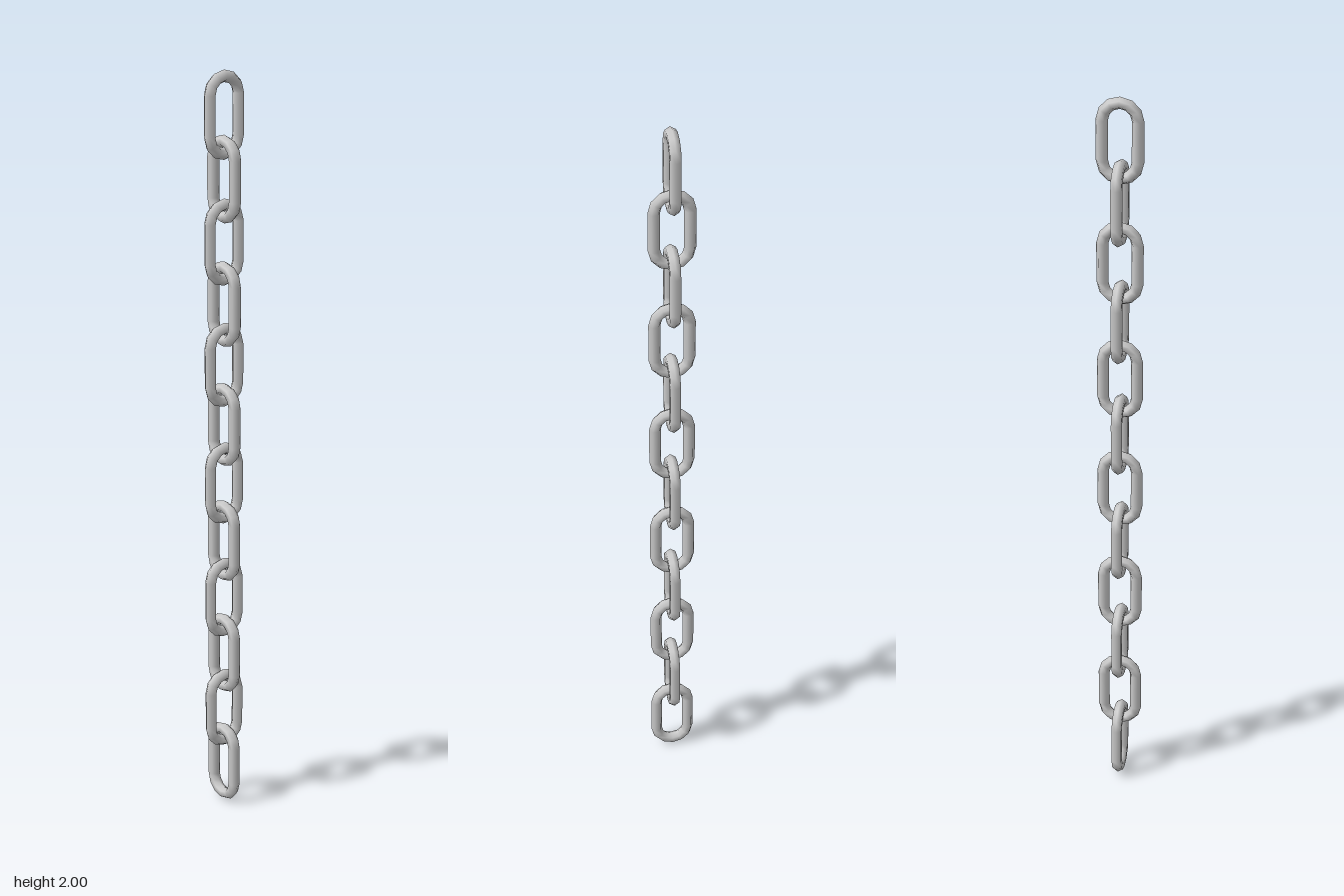
import * as THREE from 'three';

const LINKS = 12;
const LENGTH = 0.225;      // outer length of one link
const HALF_WIDTH = 0.06;   // outer half width of one link
const WIRE = 0.0155;       // wire radius
const ARC_STEPS = 6;       // segments in each rounded end

// Stadium-shaped ring of six-sided wire: a torus split in two and pulled apart along y
function linkGeometry() {
  const columns = 2 * ARC_STEPS + 2;
  const radius = HALF_WIDTH - WIRE;
  const shift = LENGTH / 2 - HALF_WIDTH;
  const geometry = new THREE.TorusGeometry(radius, WIRE, 6, columns);
  const { position, normal } = geometry.attributes;
  const axis = new THREE.Vector3(0, 0, 1);
  const v = new THREE.Vector3();
  for (let k = 0; k < position.count; k++) {
    const i = k % (columns + 1);
    const upper = i <= ARC_STEPS || i === columns;
    // Both ends of each half circle land on the straight sides
    const step = i === columns ? 0 : i <= ARC_STEPS ? i : i - 1;
    const turn = (step / ARC_STEPS) * Math.PI - (i / columns) * Math.PI * 2;
    v.fromBufferAttribute(position, k).applyAxisAngle(axis, turn);
    position.setXYZ(k, v.x, v.y + (upper ? shift : -shift), v.z);
    v.fromBufferAttribute(normal, k).applyAxisAngle(axis, turn);
    normal.setXYZ(k, v.x, v.y, v.z);
  }
  return geometry;
}

export function createModel() {
  const chain = new THREE.Group();
  chain.name = 'chain';
  const geometry = linkGeometry();
  const material = new THREE.MeshStandardMaterial({ color: 0xcccccc });
  const pitch = (2 - LENGTH) / (LINKS - 1);

  // Links hang from the top down, every second one turned a quarter
  for (let i = 0; i < LINKS; i++) {
    const link = new THREE.Mesh(geometry, material);
    link.name = `link${i + 1}`;
    link.position.y = 2 - LENGTH / 2 - i * pitch;
    link.rotation.y = i % 2 ? Math.PI / 2 : 0;
    chain.add(link);
  }
  return chain;
}
